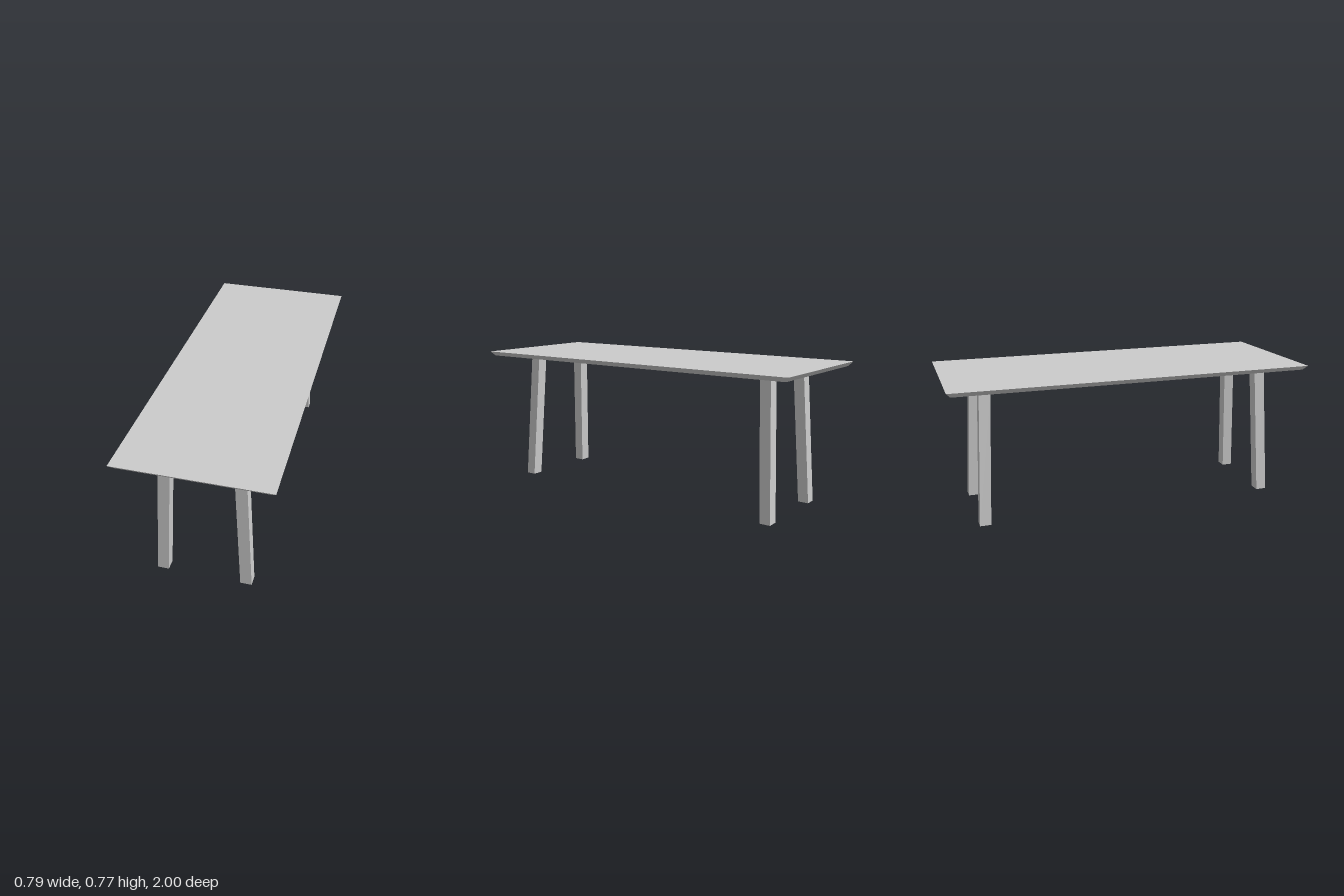
import * as THREE from 'three';

const material = new THREE.MeshStandardMaterial({ color: 0xcccccc, flatShading: true });

// Box from y0 to y1 whose vertices are moved by a rule(position, t), t = 0 bottom, 1 top
function shapedBox(name, w, y0, y1, d, rule) {
  const geo = new THREE.BoxGeometry(w, y1 - y0, d).translate(0, (y0 + y1) / 2, 0);
  const pos = geo.attributes.position;
  const v = new THREE.Vector3();
  for (let i = 0; i < pos.count; i++) {
    v.fromBufferAttribute(pos, i);
    rule(v, (v.y - y0) / (y1 - y0));
    pos.setXYZ(i, v.x, v.y, v.z);
  }
  geo.computeVertexNormals();
  const mesh = new THREE.Mesh(geo, material);
  mesh.name = name;
  return mesh;
}

export function createModel() {
  const table = new THREE.Group();
  table.name = 'table';

  // Table top with an undercut bevel on all four edges
  const bevel = 0.022;
  table.add(shapedBox('tableTop', 0.794, 0.75, 0.775, 2, (v, t) => {
    v.x -= Math.sign(v.x) * bevel * (1 - t);
    v.z -= Math.sign(v.z) * bevel * (1 - t);
  }));

  // Four splayed legs, each with a square mounting plate
  for (const sx of [1, -1]) {
    for (const sz of [1, -1]) {
      const corner = `${sz > 0 ? 'front' : 'back'}${sx > 0 ? 'Left' : 'Right'}`;

      table.add(shapedBox(`${corner}Leg`, 0.061, 0, 0.743, 0.06, (v, t) => {
        v.x += sx * THREE.MathUtils.lerp(0.226, 0.188, t);
        v.z += sz * THREE.MathUtils.lerp(0.83, 0.791, t);
      }));

      const plate = new THREE.Mesh(new THREE.BoxGeometry(0.202, 0.008, 0.202), material);
      plate.name = `${corner}MountingPlate`;
      plate.position.set(sx * 0.189, 0.746, sz * 0.79);
      table.add(plate);
    }
  }
  return table;
}
